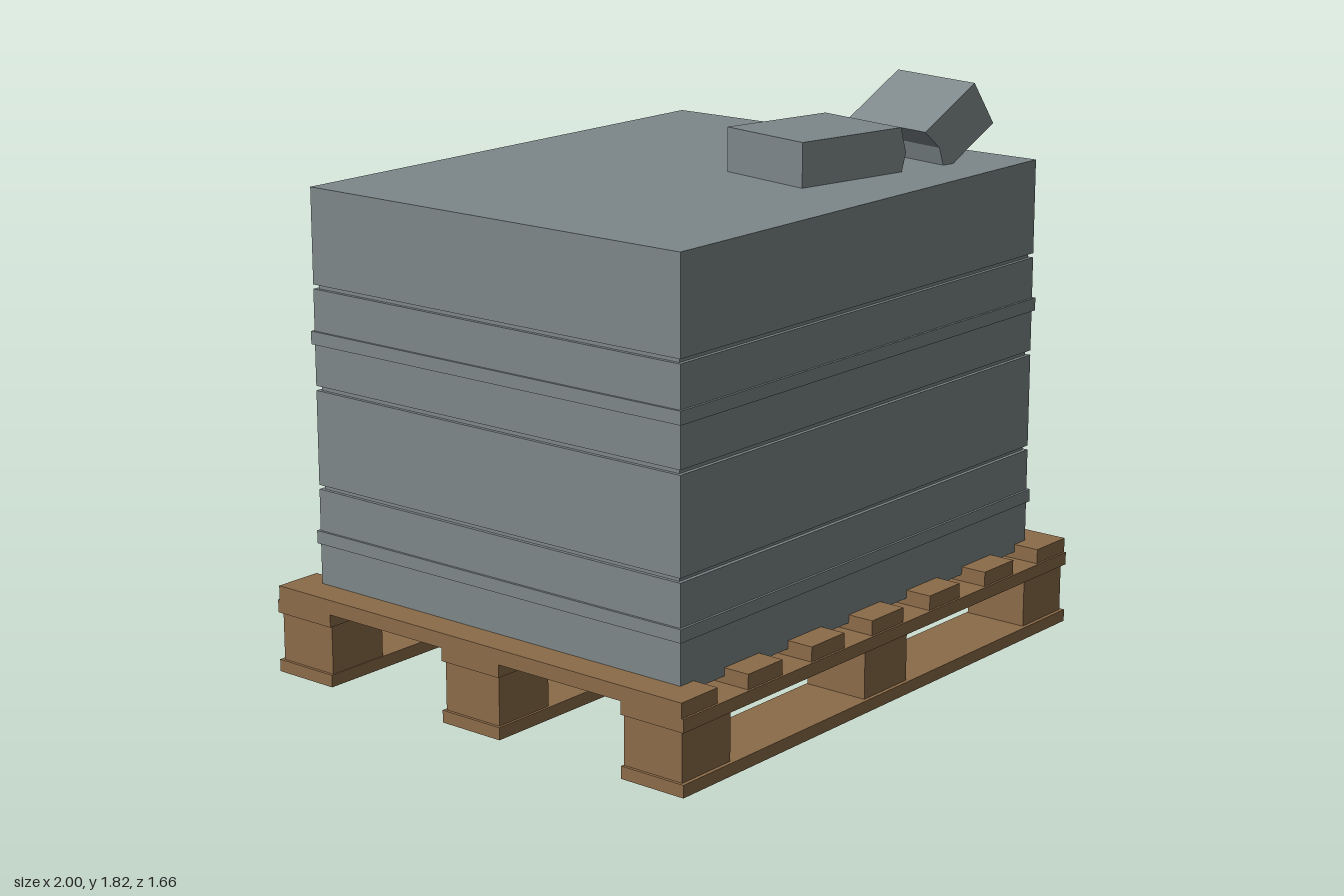
import * as THREE from 'three';

const wood = new THREE.MeshStandardMaterial({ color: 0x8b6b48 });
wood.name = 'wood';
const stone = new THREE.MeshStandardMaterial({ color: 0x7d8689 });
stone.name = 'greyStone';

// box given by its centre in x and z and its vertical range
function slab(parent, name, material, w, y0, y1, d, x = 0, z = 0) {
  const mesh = new THREE.Mesh(new THREE.BoxGeometry(w, y1 - y0, d), material);
  mesh.position.set(x, (y0 + y1) / 2, z);
  mesh.name = name;
  parent.add(mesh);
}

// broken brick: side profile hangs below its top edge, extruded across its width
function brick(parent, name, profile, position, roll) {
  const shape = new THREE.Shape(profile.map(([x, y]) => new THREE.Vector2(x, y)));
  const geometry = new THREE.ExtrudeGeometry(shape, { depth: 0.354, bevelEnabled: false });
  const mesh = new THREE.Mesh(geometry, stone);
  mesh.position.set(...position);
  mesh.rotation.set(0, -0.194, roll);
  mesh.name = name;
  parent.add(mesh);
}

export function createModel() {
  const model = new THREE.Group();
  model.name = 'loadedPallet';

  // pallet: three runners with blocks and stringers, then seven deck boards
  const pallet = new THREE.Group();
  pallet.name = 'pallet';
  model.add(pallet);
  for (const z of [-0.714, 0, 0.714]) {
    slab(pallet, 'runner', wood, 2, 0, 0.04, 0.234, 0, z);
    slab(pallet, 'stringer', wood, 2, 0.198, 0.24, 0.234, 0, z);
    for (const x of [-0.88, 0, 0.88]) {
      slab(pallet, 'spacerBlock', wood, 0.22, 0.04, 0.198, 0.218, x, z * 0.994);
    }
  }
  for (let i = -3; i <= 3; i++) {
    slab(pallet, 'deckBoard', wood, 0.164, 0.24, 0.288, 1.648, i * 0.306);
  }

  // stacked load: inset core showing as grooves between the layers, plus two raised bands
  const load = new THREE.Group();
  load.name = 'load';
  model.add(load);
  slab(load, 'core', stone, 1.77, 0.27, 1.55, 1.445);
  for (const [y0, y1] of [[0.262, 0.6], [0.614, 0.921], [0.936, 1.246], [1.26, 1.567]]) {
    slab(load, 'layer', stone, 1.794, y0, y1, 1.47);
  }
  for (const y of [0.422, 1.07]) slab(load, 'band', stone, 1.81, y, y + 0.042, 1.486);

  // two halves of a broken brick, slightly sunk into the top
  brick(load, 'flatBrickHalf',
    [[0, 0], [0, -0.164], [0.412, -0.164], [0.435, -0.082], [0.412, 0]],
    [0.11, 1.709, 0.097], 0);
  brick(load, 'tiltedBrickHalf',
    [[0, 0], [0.023, -0.082], [0, -0.164], [0.252, -0.164], [0.252, 0]],
    [0.616, 1.682, 0.198], 0.565);

  return model;
}
